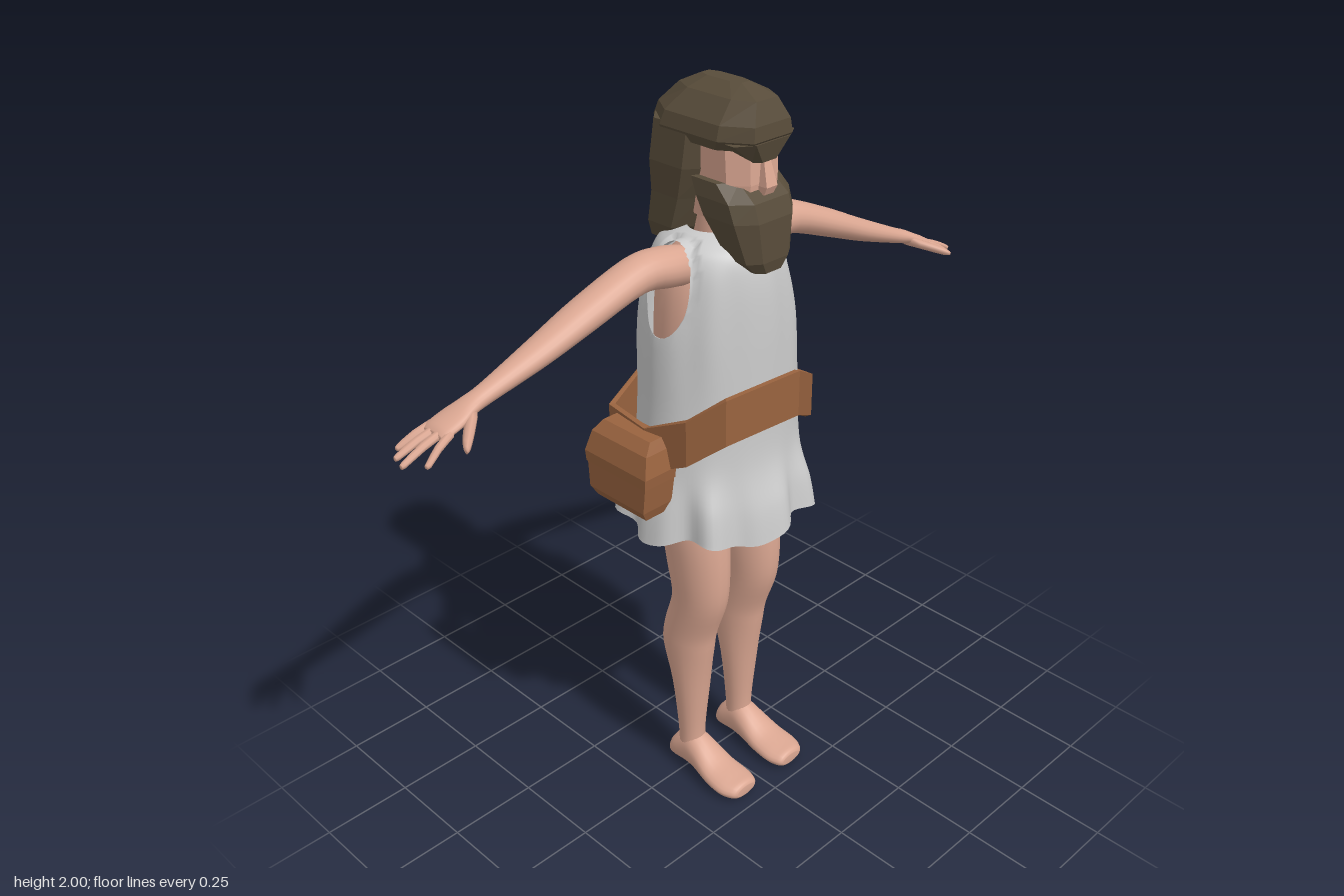
import * as THREE from 'three';

const material = (name, color, extra = {}) => {
  const m = new THREE.MeshStandardMaterial({ color, ...extra });
  m.name = name;
  return m;
};

// Directions across each growth axis: u x v points along the growth.
const AXES = {
  up: [[1, 0, 0], [0, 0, -1]],
  plusZ: [[1, 0, 0], [0, 1, 0]],
  minusZ: [[1, 0, 0], [0, -1, 0]],
  plusX: [[0, 1, 0], [0, 0, 1]],
};

// Catmull-Rom subdivision of a list of number rows.
function smoothRows(rows, steps) {
  const out = [];
  const at = (i) => rows[Math.min(rows.length - 1, Math.max(0, i))];
  for (let i = 0; i < rows.length - 1; i++) {
    for (let s = 0; s < steps; s++) {
      const t = s / steps;
      out.push(rows[i].map((b, k) => {
        const a = at(i - 1)[k], c = at(i + 1)[k], d = at(i + 2)[k];
        return b + 0.5 * t * (c - a + t * (2 * a - 5 * b + 4 * c - d + t * (3 * (b - c) + d - a)));
      }));
    }
  }
  out.push(rows[rows.length - 1]);
  return out;
}

// Skin closed rings of points; optional end caps, skipped quads and facets.
function skinRings(rings, { caps = true, flat = false, skip = null } = {}) {
  const n = rings[0].length, pos = rings.flat(2), idx = [];
  for (let i = 0; i < rings.length - 1; i++) {
    for (let j = 0; j < n; j++) {
      const k = (j + 1) % n;
      const a = i * n + j, b = i * n + k, c = a + n, d = b + n;
      if (skip && skip([rings[i][j], rings[i][k], rings[i + 1][j], rings[i + 1][k]])) continue;
      idx.push(a, b, d, a, d, c);
    }
  }
  if (caps) {
    for (const r of [0, rings.length - 1]) {
      const mid = pos.length / 3;
      for (let q = 0; q < 3; q++) pos.push(rings[r].reduce((s, p) => s + p[q], 0) / n);
      for (let j = 0; j < n; j++) {
        const a = r * n + j, b = r * n + (j + 1) % n;
        if (r === 0) idx.push(mid, b, a); else idx.push(mid, a, b);
      }
    }
  }
  let g = new THREE.BufferGeometry();
  g.setAttribute('position', new THREE.Float32BufferAttribute(pos, 3));
  g.setIndex(idx);
  if (flat) g = g.toNonIndexed();
  g.computeVertexNormals();
  return g;
}

// Rows are [x, y, z, half size along u, half size along v]; flat lofts are squarer.
function loft(axis, rows, { n = 20, steps = 4, flat = false } = {}) {
  const [u, v] = AXES[axis];
  const edge = Math.cos(Math.PI / n);
  const shape = (c) => (flat ? Math.sign(c) * Math.pow(Math.abs(c) / edge, 0.65) : c);
  const rings = (flat ? rows : smoothRows(rows, steps)).map((r) =>
    Array.from({ length: n }, (_, j) => {
      const t = ((j + 0.5) / n) * Math.PI * 2;
      const cu = shape(Math.cos(t)) * r[3], sv = shape(Math.sin(t)) * r[4];
      return [0, 1, 2].map((q) => r[q] + u[q] * cu + v[q] * sv);
    }));
  return skinRings(rings, { flat });
}

export function createModel() {
  const model = new THREE.Group();
  const skin = material('skin', 0xdba792);
  const hair = material('dark brown hair', 0x584c3a);
  const cloth = material('pale grey cloth', 0xcacaca, { side: THREE.DoubleSide });
  const leather = material('brown leather', 0x99633f);
  const add = (name, geometry, mat) => {
    const mesh = new THREE.Mesh(geometry, mat);
    mesh.name = name;
    model.add(mesh);
  };
  const BZ = -0.015, HZ = -0.023;

  // Body under the tunic
  add('torso', loft('up', [
    [0.01, 0.875, BZ, 0.09, 0.15], [0, 0.92, BZ, 0.11, 0.17], [-0.01, 1.1, BZ, 0.12, 0.17],
    [-0.01, 1.4, BZ, 0.14, 0.165], [-0.01, 1.55, BZ, 0.12, 0.14], [0, 1.62, BZ, 0.06, 0.08],
  ], { n: 28 }), skin);
  add('neck', loft('up', [[-0.01, 1.55, HZ, 0.06, 0.065], [0.01, 1.75, HZ, 0.06, 0.065]]), skin);

  // Tunic: y, centre x, half depth, centre z, half width, fold strength
  const tunicRows = smoothRows([
    [0.865, 0, 0.235, -0.012, 0.262, 0.06], [0.95, -0.003, 0.222, -0.015, 0.253, 0.045],
    [1.06, -0.005, 0.192, -0.02, 0.235, 0.006], [1.2, -0.007, 0.184, -0.025, 0.225, 0.003],
    [1.4, -0.01, 0.18, -0.025, 0.213, 0.012], [1.53, -0.008, 0.167, -0.02, 0.183, 0.01],
    [1.6, -0.005, 0.145, -0.018, 0.155, 0], [1.63, -0.003, 0.11, -0.018, 0.125, 0],
    [1.648, 0, 0.07, -0.02, 0.085, 0],
  ], 7);
  const HOLE = { y: 1.52, rx: 0.068, ry: 0.115 };
  const holeRadius = (p) => (Math.abs(p[2]) > 0.09 ? Math.hypot(p[0] / HOLE.rx, (p[1] - HOLE.y) / HOLE.ry) : 9);
  const tunicRings = tunicRows.map(([y, cx, rx, cz, rz, fold]) =>
    Array.from({ length: 108 }, (_, j) => {
      const t = (j / 108) * Math.PI * 2;
      const s = 1 + fold * (Math.cos(9 * t + 0.6) + 0.45 * Math.sin(14 * t));
      const p = [cx + rx * s * Math.cos(t), y + fold * 0.25 * Math.sin(5 * t), cz - rz * s * Math.sin(t)];
      // Pull points near the armhole rim onto it for a clean edge
      const r = holeRadius(p);
      return r > 0.85 && r < 1.15 ? [p[0] / r, HOLE.y + (p[1] - HOLE.y) / r, p[2]] : p;
    }));
  const inArmhole = (quad) => quad.some((p) => holeRadius(p) < 0.99);
  add('tunic', skinRings(tunicRings, { caps: false, skip: inArmhole }), cloth);

  // Slanted belt: x, z, middle height at each corner
  const beltPath = [
    [0.23, -0.07, 1.245], [0.09, -0.281, 1.11], [-0.13, -0.272, 1.1], [-0.228, -0.01, 1.175],
    [-0.15, 0.224, 1.12], [0, 0.242, 1.115], [0.13, 0.224, 1.175], [0.208, 0.165, 1.24],
  ];
  const beltRings = beltPath.map(([x, z, y]) => {
    const k = 0.94;
    return [[x * k, y + 0.062, z * k], [x, y + 0.062, z], [x, y - 0.062, z], [x * k, y - 0.062, z * k]];
  });
  beltRings.push(beltRings[0]);
  add('belt', skinRings(beltRings, { caps: false, flat: true }), leather);

  // Pouch with its folded flap
  add('pouch', loft('up', [
    [-0.035, 0.955, 0.258, 0.09, 0.034], [-0.035, 0.985, 0.262, 0.1, 0.048],
    [-0.03, 1.08, 0.262, 0.108, 0.05], [-0.03, 1.16, 0.25, 0.085, 0.035],
  ], { n: 4, flat: true }), leather);
  add('pouchFlap', loft('up', [
    [-0.03, 1.06, 0.264, 0.109, 0.051], [-0.03, 1.09, 0.264, 0.112, 0.052],
    [-0.03, 1.145, 0.256, 0.1, 0.044], [-0.03, 1.172, 0.245, 0.085, 0.028],
  ], { n: 4, flat: true }), leather);

  for (const s of [1, -1]) {
    const side = s > 0 ? 'PlusZ' : 'MinusZ';
    // Leg and foot
    const z = (d) => BZ + 0.004 + s * d;
    add('leg' + side, loft('up', [
      [0, 0.05, z(0.096), 0.042, 0.037], [-0.002, 0.13, z(0.096), 0.038, 0.038],
      [-0.002, 0.3, z(0.096), 0.053, 0.054], [-0.01, 0.43, z(0.097), 0.08, 0.063],
      [0.0, 0.5, z(0.097), 0.082, 0.064], [0.034, 0.61, z(0.097), 0.085, 0.066],
      [0.03, 0.72, z(0.097), 0.096, 0.075], [0.018, 0.85, z(0.098), 0.098, 0.084],
      [0.01, 0.95, z(0.095), 0.09, 0.08],
    ]), skin);
    add('foot' + side, loft('plusX', [
      [-0.07, 0.03, z(0.096), 0.018, 0.022], [-0.055, 0.042, z(0.096), 0.04, 0.038],
      [0, 0.062, z(0.096), 0.06, 0.042], [0.045, 0.056, z(0.096), 0.054, 0.048],
      [0.11, 0.035, z(0.098), 0.034, 0.058], [0.17, 0.028, z(0.098), 0.027, 0.061],
      [0.205, 0.026, z(0.096), 0.024, 0.048], [0.215, 0.025, z(0.094), 0.014, 0.034],
    ]), skin);

    // Arm, palm, fingers and thumb
    const axis = s > 0 ? 'plusZ' : 'minusZ';
    const limb = (rows) => rows.map(([x, y, d, rx, ry]) =>
      [x, y + (s < 0 ? 0.012 - 0.08 * (d - 0.2) : 0), s * d, rx, ry]);
    add('arm' + side, loft(axis, limb([
      [0, 1.57, 0.1, 0.05, 0.05], [0, 1.583, 0.17, 0.057, 0.05], [0, 1.588, 0.26, 0.052, 0.045],
      [0, 1.54, 0.42, 0.05, 0.04], [0, 1.495, 0.55, 0.042, 0.033], [0, 1.448, 0.7, 0.028, 0.023],
      [0, 1.434, 0.75, 0.031, 0.02], [0, 1.42, 0.79, 0.041, 0.017], [-0.002, 1.406, 0.83, 0.042, 0.014],
      [-0.002, 1.4, 0.845, 0.035, 0.008],
    ])), skin);
    [[-0.035, -0.056, 0.905], [-0.013, -0.022, 0.932], [0.009, 0.015, 0.942], [0.031, 0.052, 0.905]]
      .forEach(([x0, x1, tip], i) => add('finger' + (i + 1) + side, loft(axis, limb([
        [x0, 1.406, 0.82, 0.011, 0.011], [(x0 + x1) / 2, 1.39, (0.82 + tip) / 2, 0.011, 0.01],
        [x1, 1.369, tip - 0.008, 0.009, 0.008], [x1, 1.367, tip, 0.004, 0.004],
      ]), { n: 8, steps: 2 }), skin));
    add('thumb' + side, loft(axis, limb([
      [0.015, 1.425, 0.75, 0.02, 0.014], [0.05, 1.413, 0.785, 0.02, 0.013],
      [0.085, 1.4, 0.82, 0.016, 0.011], [0.1, 1.395, 0.833, 0.007, 0.006],
    ]), { n: 8, steps: 2 }), skin);
  }

  // Faceted head: height, back x, front x, half width
  const facet = (name, rows, mat, n = 8) =>
    add(name, loft('up', rows.map(([y, x0, x1, w]) =>
      [(x0 + x1) / 2, y, HZ, (x1 - x0) / 2, w]), { n, flat: true }), mat);
  facet('face', [[1.68, -0.06, 0.13, 0.07], [1.78, -0.06, 0.143, 0.08], [1.9, -0.06, 0.14, 0.085]], skin);
  facet('nose', [[1.755, 0.11, 0.158, 0.016], [1.775, 0.11, 0.168, 0.018], [1.85, 0.12, 0.147, 0.009]], skin, 4);
  facet('hairCap', [[1.865, -0.162, 0.15, 0.1], [1.89, -0.16, 0.17, 0.112], [1.925, -0.147, 0.167, 0.104],
    [1.975, -0.1, 0.148, 0.062], [2.0, -0.05, 0.08, 0.022]], hair);
  facet('fringe', [[1.835, 0.08, 0.158, 0.04], [1.885, 0.04, 0.17, 0.1]], hair);
  facet('backHair', [[1.595, -0.175, -0.07, 0.085], [1.64, -0.172, -0.03, 0.106], [1.72, -0.16, 0.0, 0.108],
    [1.8, -0.165, 0.03, 0.115], [1.9, -0.155, 0.04, 0.108]], hair);
  facet('beard', [[1.57, 0.1, 0.178, 0.045], [1.6, 0.075, 0.184, 0.075], [1.7, 0.005, 0.182, 0.1],
    [1.745, -0.02, 0.168, 0.102], [1.785, -0.03, 0.115, 0.098]], hair);

  return model;
}
